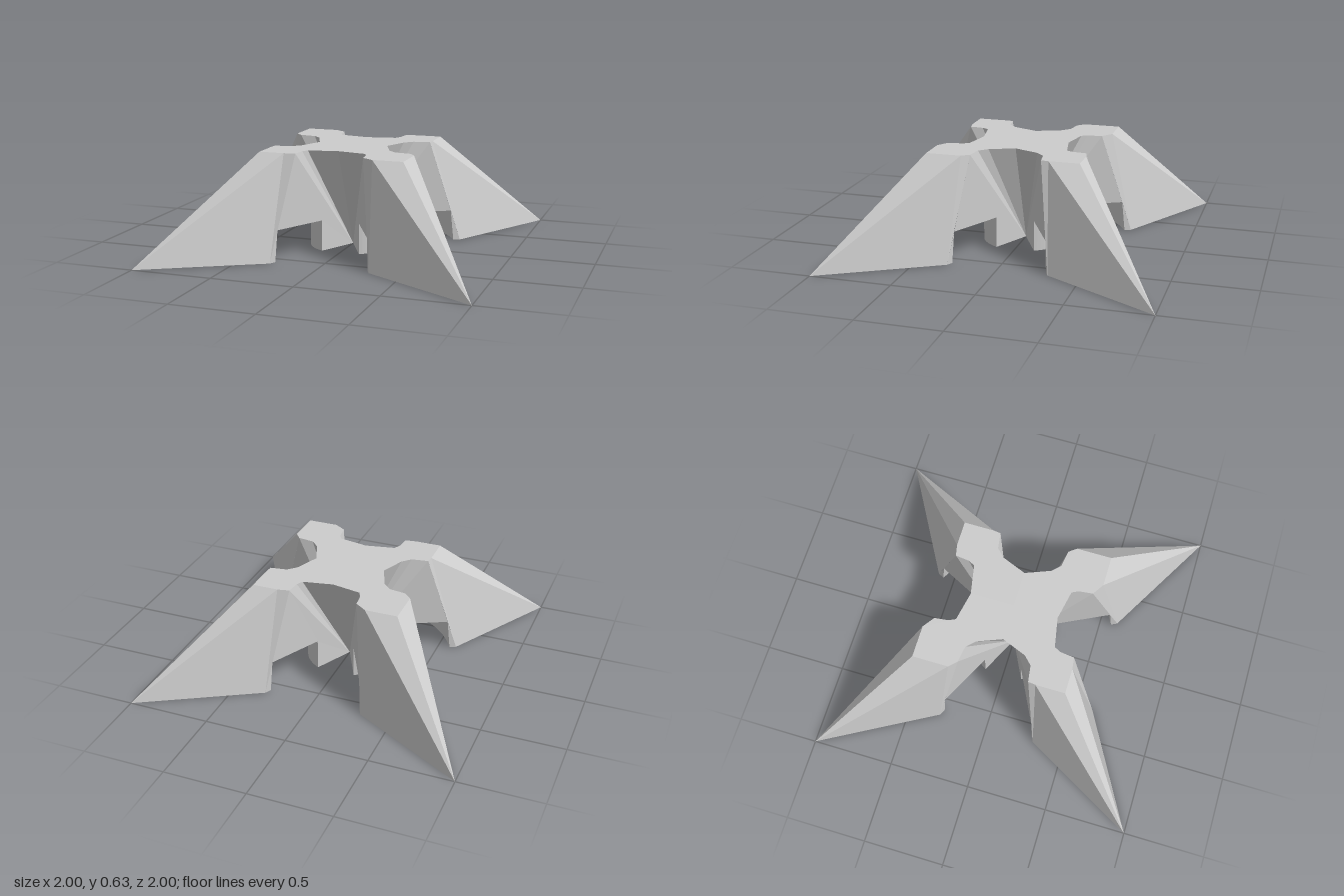
import * as THREE from 'three';

const H = 0.63;        // roof height
const NOTCH = 0.19;    // height of the ring-shaped cut under the arms
const R_IN = 0.265, R_OUT = 0.64, R_OUT_TOP = 0.62;
const STEPS = 8;
const A0 = Math.atan2(0.305, 0.61);

const v = (x, y, z) => new THREE.Vector3(x, y, z);
const polar = (r, a, y) => v(r * Math.sin(a), y, r * Math.cos(a));

// Collects flat triangles for one quadrant, mirrored into place by sx and sz
function builder(sx, sz) {
  const data = [];
  const tri = (a, b, c, flip = false) => {
    const list = flip !== (sx * sz < 0) ? [a, c, b] : [a, b, c];
    for (const p of list) data.push(p.x * sx, p.y, p.z * sz);
  };
  const quad = (a, b, c, d, flip) => {
    tri(a, b, c, flip);
    tri(a, c, d, flip);
  };
  const mesh = (name, material) => {
    const g = new THREE.BufferGeometry();
    g.setAttribute('position', new THREE.Float32BufferAttribute(data, 3));
    g.computeVertexNormals();
    const m = new THREE.Mesh(g, material);
    m.name = name;
    return m;
  };
  return { tri, quad, mesh };
}

// Corner points of one flank of an arm: ground corner, then the roof edge
function flankPoints(alongX, kx, kz) {
  return alongX
    ? { base: v(0.61, 0, 0.305), shoulder: v(0.43, H, 0.215), edge: v(kx, H, 0.26),
        neck: v(0.33, H, 0.2), star: v(0.28, H, 0.15), dip: v(0.22, H, 0) }
    : { base: v(0.305, 0, 0.61), shoulder: v(0.21, H, 0.43), edge: v(0.28, H, kz),
        neck: v(0.2, H, 0.345), star: v(0.18, H, 0.305), dip: v(0, H, 0.27) };
}

function buildQuadrant(sx, sz, kx, kz, material) {
  const group = new THREE.Group();
  group.name = 'armSection';
  const o = v(0, 0, 0), tip = v(1, 0, 1), crest = v(kx, H, kz);
  const zs = flankPoints(false, kx, kz), xs = flankPoints(true, kx, kz);

  // Arm walls, outer slopes and its share of the inverted central spike
  const arm = builder(sx, sz), spike = builder(sx, sz);
  for (const [s, a, flip] of [[zs, A0, false], [xs, Math.PI / 2 - A0, true]]) {
    const p1 = polar(R_IN, a, 0), q1 = polar(R_IN, a, NOTCH);
    const p2 = polar(R_OUT, a, 0), q2 = polar(R_OUT_TOP, a, NOTCH);
    arm.tri(o, p1, q1, flip);
    arm.tri(o, q1, s.shoulder, flip);
    arm.tri(q1, q2, s.shoulder, flip);
    arm.tri(p2, s.base, q2, flip);
    arm.tri(s.base, tip, s.edge, flip);
    arm.tri(s.base, s.edge, s.shoulder, flip);
    arm.tri(tip, crest, s.edge, flip);
    arm.tri(o, s.shoulder, s.neck, flip);
    spike.tri(o, s.neck, s.star, flip);
    spike.tri(o, s.star, s.dip, flip);
    arm.tri(tip, s.base, p2, flip);
  }

  // Curved notch, the rounded post inside it and the undersides
  for (let i = 0; i < STEPS; i++) {
    const [a, b] = [i, i + 1].map(k => A0 + (Math.PI / 2 - 2 * A0) * k / STEPS);
    const p1a = polar(R_IN, a, 0), p1b = polar(R_IN, b, 0);
    const q1a = polar(R_IN, a, NOTCH), q1b = polar(R_IN, b, NOTCH);
    const p2a = polar(R_OUT, a, 0), p2b = polar(R_OUT, b, 0);
    const q2a = polar(R_OUT_TOP, a, NOTCH), q2b = polar(R_OUT_TOP, b, NOTCH);
    arm.quad(p1a, p1b, q1b, q1a);
    arm.quad(p2a, p2b, q2b, q2a, true);
    arm.quad(q1a, q2a, q2b, q1b, true);
    arm.tri(o, p1b, p1a);
    arm.tri(tip, p2a, p2b);
  }

  // Flat roof over this quadrant
  const roof = builder(sx, sz);
  const outline = [v(0, H, 0), zs.dip, zs.star, zs.neck, zs.shoulder, zs.edge, crest,
    xs.edge, xs.shoulder, xs.neck, xs.star, xs.dip];
  const flat = outline.map(p => new THREE.Vector2(p.x, p.z));
  for (const [i, j, k] of THREE.ShapeUtils.triangulateShape(flat, [])) {
    const area = THREE.ShapeUtils.area([flat[i], flat[j], flat[k]]);
    roof.tri(outline[i], outline[j], outline[k], area > 0);
  }

  group.add(arm.mesh('arm', material), spike.mesh('centralSpike', material),
    roof.mesh('roof', material));
  return group;
}

export function createModel() {
  const model = new THREE.Group();
  model.name = 'fourArmedCanopy';
  const grey = new THREE.MeshStandardMaterial({ color: 0xcccccc });
  grey.name = 'lightGrey';
  // Quadrant signs and the slightly differing crest corners
  const quadrants = [
    [1, 1, 0.465, 0.475], [-1, -1, 0.475, 0.48],
    [-1, 1, 0.435, 0.44], [1, -1, 0.435, 0.445],
  ];
  for (const [sx, sz, kx, kz] of quadrants) model.add(buildQuadrant(sx, sz, kx, kz, grey));
  return model;
}
